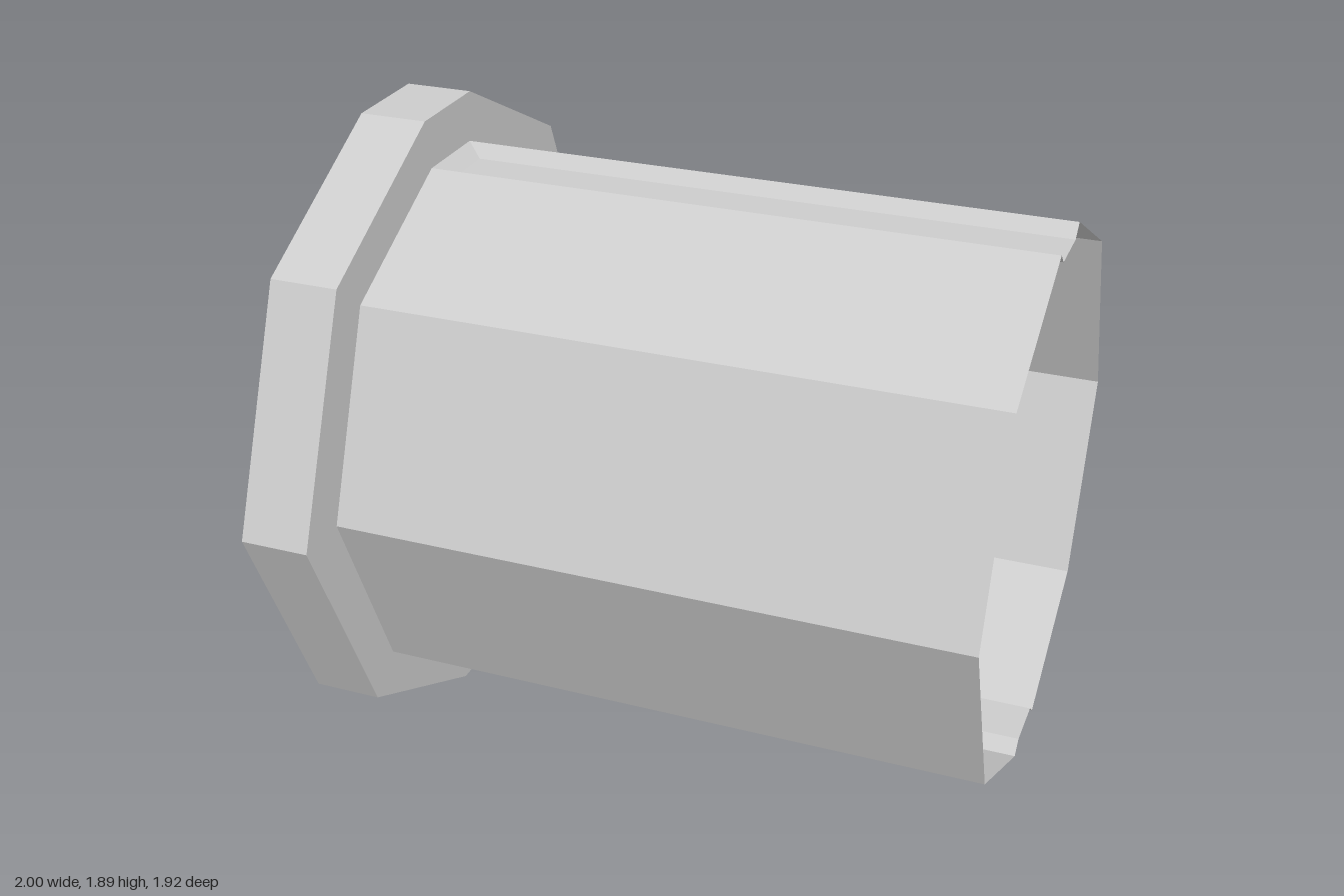
import * as THREE from 'three';

const CENTER_Y = 0.945;

// Half outlines as [z, y] around the tube axis; the other half is a half turn
const OUTER = [[0.14, -0.945], [0.68, -0.66], [0.96, 0], [0.68, 0.66], [0.14, 0.945]];
const INNER = [[0.12, -0.8], [0.57, -0.567], [0.8, 0], [0.57, 0.567], [0.12, 0.8]];
const halfTurn = (half) => [...half, ...half.map(([z, y, ...rest]) => [-z, -y, ...rest])];
const toVectors = (half) => halfTurn(half).map(([z, y]) => new THREE.Vector2(z, y));

function quads(list) {
  const pos = list.flatMap(([a, b, c, d]) => [a, b, c, a, c, d].flat());
  const geometry = new THREE.BufferGeometry();
  geometry.setAttribute('position', new THREE.Float32BufferAttribute(pos, 3));
  geometry.computeVertexNormals();
  return geometry;
}

export function createModel() {
  const group = new THREE.Group();
  const material = new THREE.MeshStandardMaterial({
    color: 0xcccccc, flatShading: true, side: THREE.DoubleSide,
  });
  const add = (name, geometry) => {
    const mesh = new THREE.Mesh(geometry, material);
    mesh.name = name;
    mesh.position.y = CENTER_Y;
    group.add(mesh);
  };

  // Collar: ten-sided ring at the left end
  const ring = new THREE.Shape(toVectors(OUTER));
  ring.holes.push(new THREE.Path(toVectors(INNER).reverse()));
  const collar = new THREE.ExtrudeGeometry(ring, { depth: 0.2, bevelEnabled: false });
  add('collar', collar.rotateY(Math.PI / 2).translate(-1, 0, 0));

  // Tube: thin panels; the third value is where each edge starts along x,
  // so the keyway floor begins a little past the collar
  const half = [...INNER.map(([z, y]) => [z, y, -0.8]), [0.08, 0.765, -0.75], [-0.08, 0.765, -0.75]];
  const outline = halfTurn(half);
  add('tube', quads(outline.map(([z, y, x], i) => {
    const [z2, y2, x2] = outline[(i + 1) % outline.length];
    return [[x, y, z], [1, y, z], [1, y2, z2], [x2, y2, z2]];
  })));

  // Sloped ends closing the top and bottom keyways
  [['topKeywayEnd', 1], ['bottomKeywayEnd', -1]].forEach(([name, s]) => add(name, quads([[
    [-0.8, 0.8 * s, -0.12 * s], [-0.8, 0.8 * s, 0.12 * s],
    [-0.75, 0.765 * s, 0.08 * s], [-0.75, 0.765 * s, -0.08 * s],
  ]])));

  return group;
}
